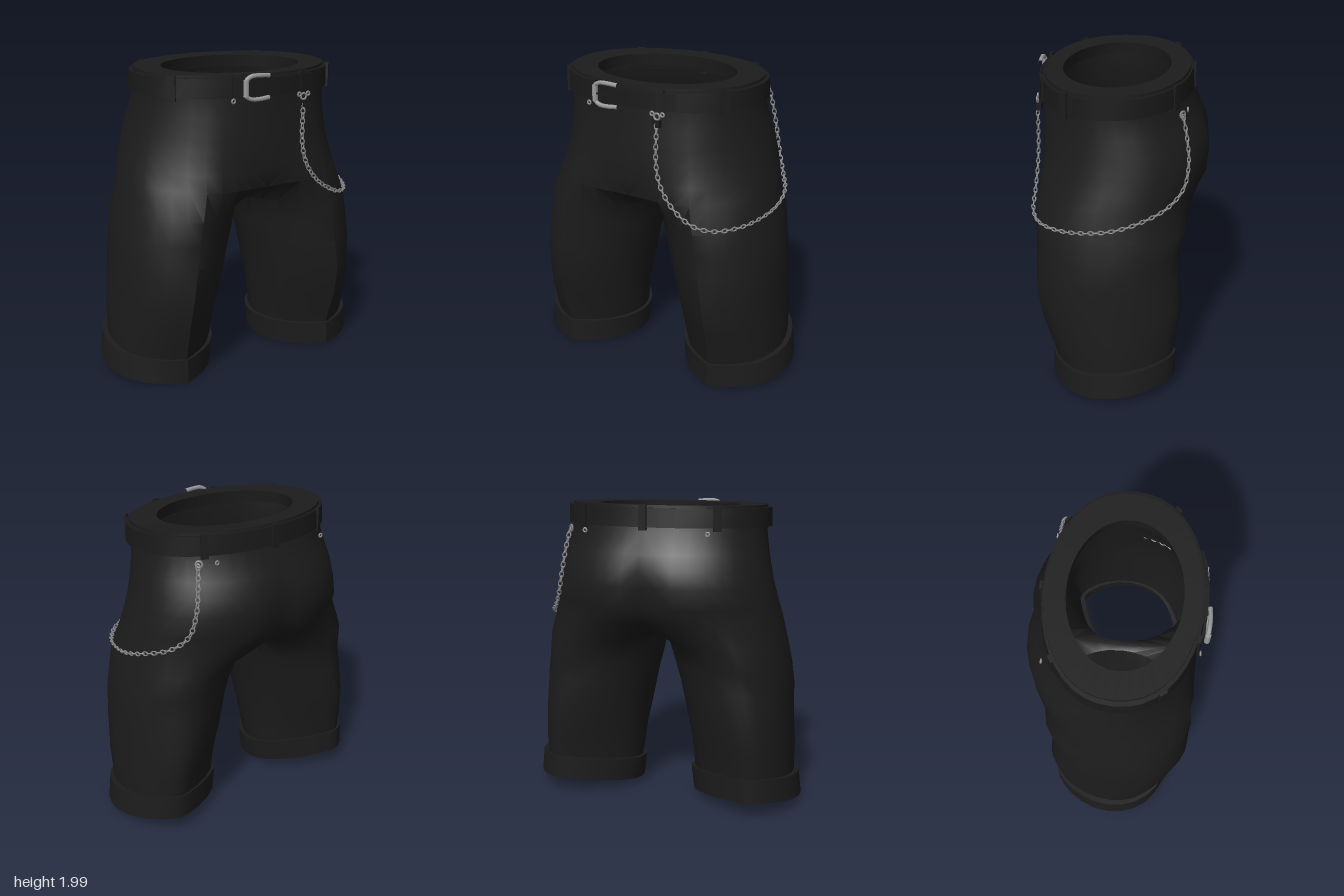
import * as THREE from 'three';
import { mergeGeometries, toCreasedNormals } from 'three/addons/utils/BufferGeometryUtils.js';

const mat = (name, color, side = THREE.FrontSide) => {
  const m = new THREE.MeshStandardMaterial({ color, side });
  m.name = name;
  return m;
};
const V = (x, y, z) => new THREE.Vector3(x, y, z);
const spow = (c, p) => Math.sign(c) * Math.abs(c) ** p;
const COLS = 20, INNER = 6, DEG = Math.PI / 180;

// Skin rows of points from top to bottom; s = -1 mirrors to the right side
function loft(rows, closed, s = 1, tris = []) {
  const n = rows[0].length;
  const put = (...ps) => {
    if (s < 0) ps.reverse();
    ps.forEach(p => tris.push(p.x * s, p.y, p.z));
  };
  for (let i = 0; i < rows.length - 1; i++) {
    for (let j = 0; j < (closed ? n : n - 1); j++) {
      const k = (j + 1) % n;
      const a = rows[i][j], b = rows[i][k], c = rows[i + 1][j], d = rows[i + 1][k];
      put(a, c, b);
      put(b, c, d);
    }
  }
  return tris;
}
function skin(tris, crease = 0.6) {
  const g = new THREE.BufferGeometry();
  g.setAttribute('position', new THREE.Float32BufferAttribute(tris, 3));
  return toCreasedNormals(g, crease);
}

// Waist outline point: theta 0 is front, PI/2 the left side, PI the back
const waistPoint = (t, y, X, zf, zb, p = 0.9) => {
  const z = (zf + zb) / 2 + (zf - zb) / 2 * spow(Math.cos(t), p);
  return V(X * Math.sin(t), y - 0.03 * z, z);
};
const waistRing = (y, X, zf, zb, p) =>
  Array.from({ length: 40 }, (_, i) => waistPoint(i / 20 * Math.PI, y, X, zf, zb, p));

// Half of the hips, from centre front round the side to centre back
function hipRow([y, X, zf, zb, p, crease, groove, lift]) {
  return Array.from({ length: COLS + 1 }, (_, i) => {
    const t = i / COLS * Math.PI;
    const pt = waistPoint(t, y, X, zf, zb, p);
    pt.x = i % COLS ? pt.x : 0;
    pt.z += crease * Math.exp(-(((t - 36 * DEG) / 0.25) ** 2));
    if (t > 2) pt.z += groove * Math.exp(-((pt.x / 0.1) ** 2));
    else pt.z -= lift * Math.exp(-((pt.x / 0.2) ** 2));
    pt.y = y + lift * 0.6 * Math.sin(t) - (y > 1.8 ? 0.03 * pt.z : 0);
    return pt;
  });
}

// Closed leg section: pressed crease in front, and a back that narrows towards the hem
function legRow([y, xi, xo, cx, zf, zb], crease = 0.035) {
  const f = zf - crease;
  const k = Math.min(1, Math.max(0, (1.1 - y) / 0.9));
  const shift = 0.015 + 0.045 * k;
  return Array.from({ length: COLS + INNER }, (_, i) => {
    const t = (i <= COLS ? -60 + 15 * i : 240 + 10 * (i - COLS)) * DEG;
    const s = Math.sin(t), c = Math.cos(t);
    const mid = cx + shift * (1 - c);
    const taper = c < 0 ? (s < 0 ? 0.6 : 0.25) : (s < 0 ? 0.2 : 0);
    return V(mid + (s > 0 ? xo - mid : mid - xi) * spow(s, 1 + taper * k), y,
      (f + zb) / 2 + (f - zb) / 2 * spow(c, c > 0 ? 1 : 0.88 + 0.12 * k) + crease * Math.exp(-((t / 0.25) ** 2)));
  });
}

// Turn-up row that follows the sloping hem
function cuffRow(h, grow, lean = 0) {
  const row = legRow([0, 0.205 - grow - lean, 0.94 + grow - lean, 0.56, 0.425 + grow, -0.39 - grow], 0.025);
  row.forEach(p => {
    p.y = Math.max(0, 0.035 - 0.127 * p.z + 0.1335 * p.z * p.z + 0.02 * Math.max(0, (p.x - 0.6) / 0.34)) + h;
  });
  return row;
}

export function createModel() {
  const model = new THREE.Group();
  const fabric = mat('black fabric', 0x1c1c1c, THREE.DoubleSide);
  const leather = mat('black leather', 0x1a1a1a, THREE.DoubleSide);
  const steel = mat('buckle steel', 0x9c9c9c);
  const chainSteel = mat('chain steel', 0x8c8c8c);
  const add = (name, geo, m, parent = model) => {
    const mesh = new THREE.Mesh(geo, m);
    mesh.name = name;
    parent.add(mesh);
    return mesh;
  };

  // Hips: y, half width, front z, back z, squareness, crease, seat groove, crotch lift
  const hips = [
    [1.985, 0.655, 0.49, -0.435, 0.9, 0, 0, 0],
    [1.84, 0.655, 0.495, -0.45, 0.92, 0, 0, 0],
    [1.7, 0.68, 0.5, -0.525, 0.94, 0.015, 0.015, 0],
    [1.6, 0.7, 0.505, -0.57, 0.92, 0.025, 0.035, 0],
    [1.5, 0.72, 0.51, -0.585, 0.9, 0.03, 0.055, 0],
    [1.36, 0.75, 0.525, -0.575, 0.87, 0.04, 0.06, 0.02],
    [1.25, 0.77, 0.535, -0.525, 0.83, 0.05, 0.055, 0.055],
  ].map(hipRow);

  // Crotch seam closes the lowest hip row into the top of each leg
  const last = hips[hips.length - 1];
  const crotch = [...last];
  for (let k = 1; k < INNER; k++) {
    const s = k / INNER;
    crotch.push(V(0, 1.25 - 0.14 * Math.sin(Math.PI * s) ** 0.7,
      THREE.MathUtils.lerp(last[COLS].z, last[0].z, s)));
  }

  // Legs: y, inner x, outer x, crease x, front z, back z
  const legs = [crotch, ...[
    [1.1, 0.035, 0.81, 0.49, 0.52, -0.435],
    [0.95, 0.07, 0.84, 0.51, 0.515, -0.4],
    [0.8, 0.11, 0.86, 0.53, 0.52, -0.4],
    [0.6, 0.15, 0.862, 0.56, 0.52, -0.415],
    [0.4, 0.19, 0.88, 0.57, 0.48, -0.39],
    [0.2, 0.21, 0.885, 0.56, 0.42, -0.365],
    [0.12, 0.225, 0.885, 0.56, 0.405, -0.36],
  ].map(r => legRow(r))];

  const body = [];
  for (const s of [1, -1]) {
    loft(hips, false, s, body);
    loft(legs, true, s, body);
  }
  add('trousers', skin(body, 0.8), fabric);

  // Turned-up cuffs
  const cuff = [cuffRow(0.16, -0.05, 0.02), cuffRow(0.16, 0, 0.02), cuffRow(0, 0),
    cuffRow(0.004, -0.025), cuffRow(0.15, -0.04)];
  add('leftCuff', skin(loft(cuff, true)), fabric);
  add('rightCuff', skin(loft(cuff, true, -1)), fabric);

  // Wide flat waist rim with an inner lip
  add('waistRim', skin(loft([
    waistRing(1.9, 0.49, 0.39, -0.32, 1), waistRing(1.98, 0.48, 0.38, -0.31, 1),
    waistRing(1.985, 0.655, 0.49, -0.435)], true)), fabric);

  // Belt, its overlapping end and the loops
  const belt = new THREE.Group();
  belt.name = 'belt';
  model.add(belt);
  add('beltStrap', skin(loft([
    waistRing(1.968, 0.65, 0.485, -0.43), waistRing(1.968, 0.685, 0.51, -0.45),
    waistRing(1.848, 0.688, 0.515, -0.46), waistRing(1.848, 0.65, 0.49, -0.44)], true)), leather, belt);
  const arc = (y, o) => Array.from({ length: 13 }, (_, i) =>
    waistPoint(-0.28 + i * 0.065, y, 0.688 + o, 0.515 + o, -0.46 - o));
  add('beltEnd', skin(loft([arc(1.962, 0), arc(1.962, 0.012), arc(1.856, 0.012), arc(1.856, 0)], false)), leather, belt);
  for (const t of [0.358, -0.358, 1.01, -1.01, 2.43, -2.43, Math.PI]) {
    const p = waistPoint(t, 1.907, 0.688, 0.518, -0.458);
    const loop = add('beltLoop', new THREE.BoxGeometry(0.05, 0.155, 0.018), fabric, belt);
    loop.position.copy(p);
    loop.rotation.y = Math.atan2(Math.sin(t) / 0.688, Math.cos(t) / 0.488);
  }

  // Open buckle frame with a thick left bar and prong
  const frame = new THREE.CatmullRomCurve3([
    V(-0.035, 1.965, 0.535), V(-0.1, 1.97, 0.54), V(-0.165, 1.967, 0.538), V(-0.198, 1.945, 0.535),
    V(-0.2, 1.895, 0.535), V(-0.198, 1.85, 0.535), V(-0.165, 1.83, 0.538), V(-0.1, 1.827, 0.54),
    V(-0.035, 1.832, 0.535)]);
  add('buckleFrame', new THREE.TubeGeometry(frame, 32, 0.014, 6), steel, belt);
  const bar = add('buckleBar', new THREE.CylinderGeometry(0.018, 0.018, 0.1, 8), steel, belt);
  bar.position.set(-0.2, 1.897, 0.535);
  const prong = add('buckleProng', new THREE.BoxGeometry(0.13, 0.01, 0.01), leather, belt);
  prong.position.set(-0.125, 1.898, 0.538);

  // Small rings under the belt
  for (const [x, y, z] of [[-0.27, 1.822, 0.505], [0.205, 1.825, 0.52], [0.275, 1.825, 0.515],
    [-0.41, 1.828, -0.42], [0.41, 1.828, -0.42]]) {
    const ring = add('ring', new THREE.TorusGeometry(0.012, 0.006, 6, 10), chainSteel);
    ring.position.set(x, y, z);
  }

  // Chain clips
  const clip = add('frontClip', new THREE.BoxGeometry(0.05, 0.045, 0.03), leather);
  clip.position.set(0.232, 1.765, 0.51);
  const hook = add('frontHook', new THREE.TorusGeometry(0.02, 0.007, 6, 12), chainSteel);
  hook.position.set(0.238, 1.81, 0.518);
  const rearHook = add('rearHook', new THREE.TorusGeometry(0.02, 0.007, 6, 12), chainSteel);
  rearHook.position.set(0.52, 1.835, -0.39);
  rearHook.rotation.y = 2.4;

  // Hanging chain of alternating links
  const path = new THREE.CatmullRomCurve3([
    [0.235, 1.75, 0.52], [0.235, 1.5, 0.525], [0.27, 1.37, 0.53], [0.36, 1.25, 0.535], [0.5, 1.165, 0.53],
    [0.61, 1.14, 0.48], [0.72, 1.14, 0.34], [0.79, 1.165, 0.15], [0.808, 1.195, 0], [0.785, 1.24, -0.15],
    [0.69, 1.3, -0.315], [0.615, 1.4, -0.41], [0.575, 1.55, -0.435], [0.55, 1.7, -0.42], [0.53, 1.82, -0.395],
  ].map(p => V(...p)));
  const count = Math.round(path.getLength() / 0.032);
  const links = [];
  for (let i = 0; i <= count; i++) {
    const u = i / count, p = path.getPointAt(u), T = path.getTangentAt(u);
    const B = V(0, 0, 0).crossVectors(V(p.x, 0, p.z), T).normalize();
    const N = V(0, 0, 0).crossVectors(T, B);
    const link = new THREE.TorusGeometry(0.013, 0.0045, 5, 8);
    link.scale(1.5, 1, 1);
    link.rotateX(i % 2 ? 1.2 : 0.1);
    link.applyMatrix4(new THREE.Matrix4().makeBasis(T, B, N).setPosition(p));
    links.push(link);
  }
  add('chain', mergeGeometries(links), chainSteel);
  return model;
}
